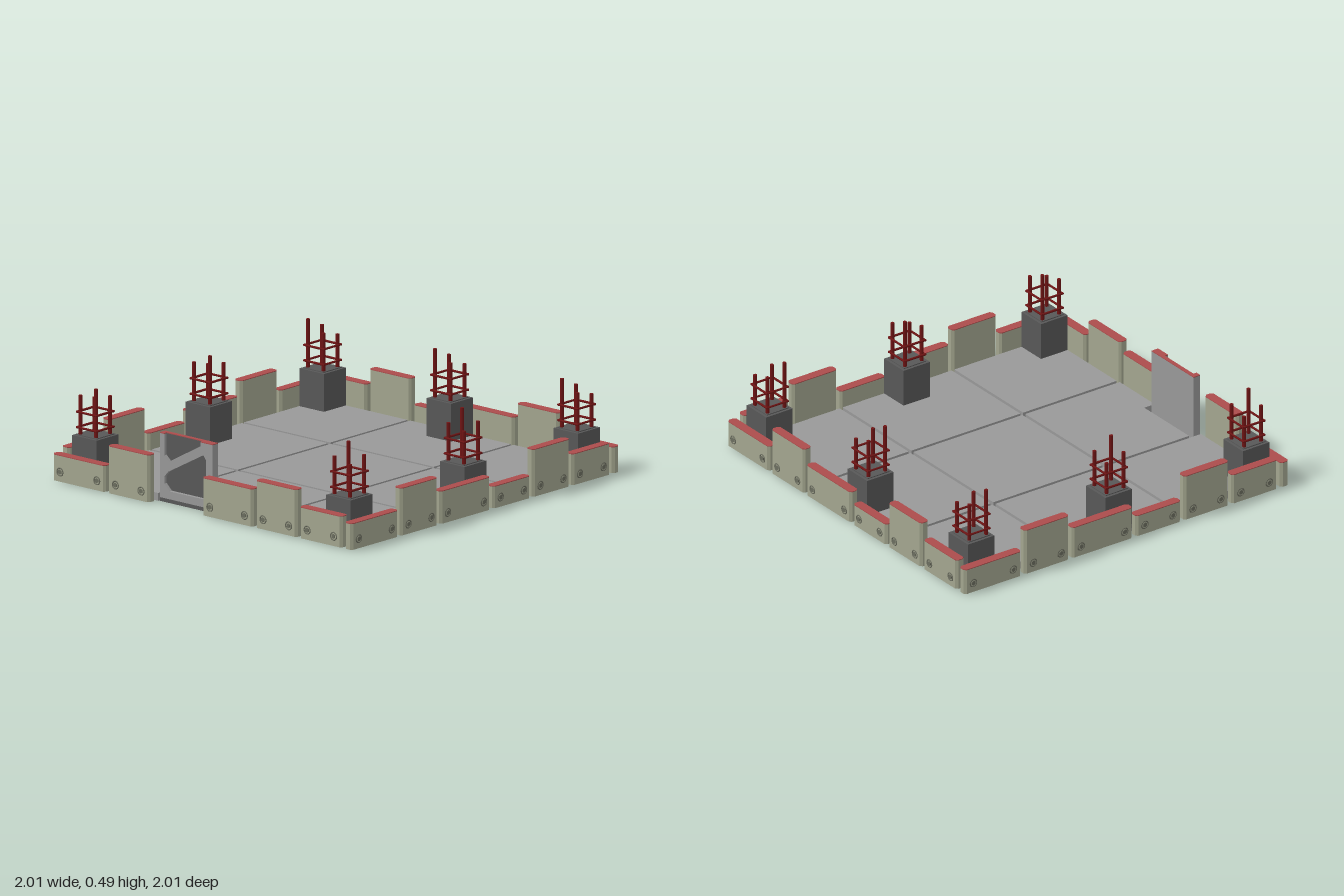
import * as THREE from 'three';

const mat = (color, flatShading = false) => new THREE.MeshStandardMaterial({ color, flatShading });
const concrete = mat(0x999999), dark = mat(0x585858), green = mat(0xa3a68f);
const red = mat(0xac4c4c), steel = mat(0x701414), boltMat = mat(0x6c6e60, true);

function add(parent, name, geometry, material, x = 0, y = 0, z = 0) {
  const m = new THREE.Mesh(geometry, material);
  m.name = name;
  m.position.set(x, y, z);
  parent.add(m);
  return m;
}

// box given by its limits on each axis
function block(parent, name, material, x0, x1, y0, y1, z0, z1) {
  return add(parent, name, new THREE.BoxGeometry(x1 - x0, y1 - y0, z1 - z0), material,
    (x0 + x1) / 2, (y0 + y1) / 2, (z0 + z1) / 2);
}

const polygon = pts => new THREE.Shape(pts.map(p => new THREE.Vector2(...p)));

// plan outline with clipped corners
function planShape(x0, x1, t, c) {
  return polygon([[x0 + c, -t], [x1 - c, -t], [x1, -t + c], [x1, t - c], [x1 - c, t],
    [x0 + c, t], [x0, t - c], [x0, -t + c]]);
}

// upright slab extruded from a plan outline
function standing(parent, name, shape, y0, y1, material) {
  const g = new THREE.ExtrudeGeometry(shape, { depth: y1 - y0, bevelEnabled: false });
  g.rotateX(-Math.PI / 2);
  return add(parent, name, g, material, 0, y0, 0);
}

// wall panel facing +z, with a coloured top edge and two anchor bolts
function wallPanel(x0, x1, height) {
  const panel = new THREE.Group();
  panel.name = 'wallPanel';
  const shape = planShape(x0, x1, 0.025, 0.012);
  standing(panel, 'panelBody', shape, 0.005, height - 0.004, green);
  standing(panel, 'panelTopEdge', shape, height - 0.004, height, red);
  for (const x of [x0 + 0.052, x1 - 0.052]) {
    add(panel, 'boltRing', new THREE.TorusGeometry(0.02, 0.004, 6, 16), boltMat, x, 0.055, 0.024);
    const hex = new THREE.CylinderGeometry(0.013, 0.013, 0.008, 6).rotateX(Math.PI / 2);
    add(panel, 'boltHead', hex, boltMat, x, 0.055, 0.025);
  }
  panel.position.z = 0.975;
  return panel;
}

// column stub with four reinforcing bars and two stirrups
function column(x, z, turn) {
  const col = new THREE.Group();
  col.name = 'columnStub';
  block(col, 'columnBase', dark, -0.082, 0.082, 0.02, 0.235, -0.082, 0.082);
  block(col, 'columnCap', dark, -0.068, 0.068, 0.235, 0.24, -0.068, 0.068);
  const bars = [[-1, 1, 0.49], [1, 1, 0.435], [1, -1, 0.41], [-1, -1, 0.44]];
  for (const [sx, sz, top] of bars) {
    add(col, 'reinforcingBar', new THREE.CylinderGeometry(0.01, 0.01, top - 0.22, 8), steel,
      sx * 0.052, (top + 0.22) / 2, sz * 0.052);
  }
  for (const y of [0.275, 0.355]) {
    for (const s of [-1, 1]) {
      const rod = () => new THREE.CylinderGeometry(0.006, 0.006, 0.136, 6);
      add(col, 'stirrupRod', rod().rotateZ(Math.PI / 2), steel, 0, y, s * 0.064);
      add(col, 'stirrupRod', rod().rotateX(Math.PI / 2), steel, s * 0.064, y, 0);
    }
  }
  col.position.set(x, 0, z);
  col.rotation.y = turn;
  return col;
}

// upright entrance panel with two sunken fields in front
function entrancePanel() {
  const g = new THREE.Group();
  g.name = 'entrancePanel';
  const L = -0.335, R = 0.018, T = 0.356;
  block(g, 'panelBack', concrete, L, R, 0.005, T, 0.9, 0.918);
  block(g, 'sunkenField', dark, L + 0.01, R - 0.01, 0.03, T, 0.918, 0.922);
  // frame outline follows the upper field, which is open at the top
  const frame = polygon([[L, 0.025], [R, 0.025], [R, T], [-0.065, T], [-0.065, 0.335],
    [-0.275, 0.218], [-0.305, 0.245], [-0.305, T], [L, T]]);
  frame.holes.push(polygon([[-0.305, 0.1], [-0.27, 0.066], [-0.05, 0.066], [-0.028, 0.09],
    [-0.028, 0.27], [-0.045, 0.293], [-0.28, 0.165], [-0.305, 0.135]]));
  add(g, 'panelFrame', new THREE.ExtrudeGeometry(frame, { depth: 0.022, bevelEnabled: false }),
    concrete, 0, 0, 0.918);
  block(g, 'panelSill', dark, L, R, 0.005, 0.025, 0.918, 0.938);
  // coloured top edge
  block(g, 'topEdge', red, L, R, T, T + 0.004, 0.9, 0.921);
  block(g, 'topEdge', red, L, -0.305, T, T + 0.004, 0.921, 0.94);
  block(g, 'topEdge', red, -0.065, R, T, T + 0.004, 0.921, 0.94);
  return g;
}

export function createModel() {
  const model = new THREE.Group();
  model.name = 'foundation';

  // floor: three by three slabs with open joints, front middle one notched
  const spans = [[-0.93, -0.355], [-0.337, 0.335], [0.353, 0.93]];
  for (const [x0, x1] of spans) {
    for (const [z0, z1] of spans) {
      if (x0 === -0.337 && z1 === 0.93) {
        const notched = polygon([[x0, -0.87], [0.04, -0.87], [0.04, -0.935], [x1, -0.935],
          [x1, -z0], [x0, -z0]]);
        standing(model, 'floorSlab', notched, 0, 0.04, concrete);
      } else {
        block(model, 'floorSlab', concrete, x0, x1, 0, 0.04, z0, z1);
      }
    }
  }

  // walls: one row turned to each side, the front one leaves the entrance free
  const sideNames = ['frontWall', 'leftWall', 'backWall', 'rightWall'];
  sideNames.forEach((name, i) => {
    const wall = new THREE.Group();
    wall.name = name;
    const middle = i === 0 ? [[0, 0.335, 0.2]] : [[-0.335, 0.037, 0.175], [0.058, 0.335, 0.12]];
    const row = [[-1, -0.65, 0.142], [-0.63, -0.355, 0.25], ...middle,
      [0.355, 0.63, 0.25], [0.65, 0.93, 0.167]];
    for (const p of row) wall.add(wallPanel(...p));
    wall.rotation.y = i * Math.PI / 2;
    model.add(wall);
  });

  model.add(entrancePanel());

  // columns: corners and all side middles but the front
  const q = Math.PI / 2;
  const columns = [[-1, -1, 0], [0, -1, 0], [1, -1, 0], [1, 0, -q], [1, 1, -q], [-1, 0, q], [-1, 1, q]];
  for (const [sx, sz, turn] of columns) model.add(column(sx * 0.848, sz * 0.848, turn));

  return model;
}
